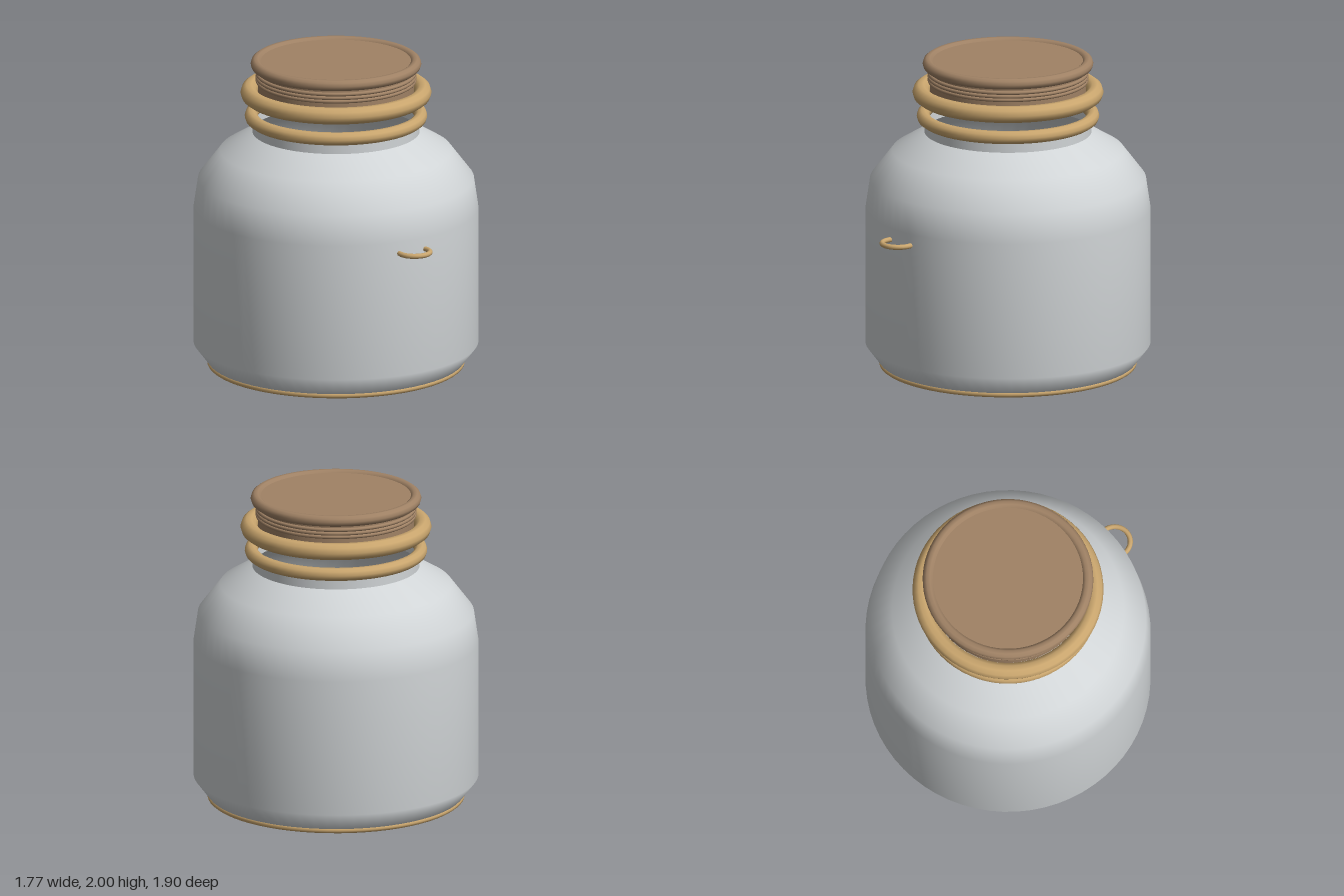
import * as THREE from 'three';

const glass = new THREE.MeshStandardMaterial({ color: 0xd0d4d6, side: THREE.DoubleSide });
glass.name = 'pale grey glass';
const brass = new THREE.MeshStandardMaterial({ color: 0xcaa66e });
brass.name = 'brass';
const lidBrown = new THREE.MeshStandardMaterial({ color: 0xa08265 });
lidBrown.name = 'lid brown';

function add(parent, name, geometry, material, y = 0, z = 0) {
  const mesh = new THREE.Mesh(geometry, material);
  mesh.name = name;
  mesh.position.set(0, y, z);
  parent.add(mesh);
  return mesh;
}

// Horizontal ring around the y axis
function ring(parent, name, radius, tube, y, material, z = 0, segments = 64) {
  const geometry = new THREE.TorusGeometry(radius, tube, 10, segments).rotateX(Math.PI / 2);
  return add(parent, name, geometry, material, y, z);
}

// Turned part; a repeated point makes a sharp edge
function turned(parent, name, points, material) {
  const profile = points.map(([r, y]) => new THREE.Vector2(r, y));
  return add(parent, name, new THREE.LatheGeometry(profile, 64), material);
}

export function createModel() {
  const model = new THREE.Group();
  model.name = 'jar';

  const body = new THREE.Group();
  body.name = 'body';
  body.position.z = -0.067;
  model.add(body);

  // Open glass vessel with rounded shoulder and short neck
  turned(body, 'vessel', [
    [0, 0], [0.66, 0], [0.66, 0], [0.79, 0.05], [0.885, 0.175], [0.885, 1.04],
    [0.857, 1.23], [0.72, 1.41], [0.52, 1.53], [0.52, 1.53], [0.52, 1.62],
  ], glass);
  ring(body, 'baseRing', 0.782, 0.019, 0.047, brass);
  ring(body, 'neckRing', 0.526, 0.041, 1.63, brass);

  // Floating lid: plug, threads, collar and rolled rim
  const lid = new THREE.Group();
  lid.name = 'lid';
  body.add(lid);
  turned(lid, 'lidPlug', [
    [0, 1.725], [0.45, 1.725], [0.45, 1.725], [0.485, 1.78], [0.485, 1.78],
    [0.485, 1.985], [0.485, 1.985], [0, 1.985],
  ], lidBrown);
  for (const y of [1.86, 1.882, 1.906]) ring(lid, 'thread', 0.488, 0.012, y, lidBrown);
  ring(lid, 'collarRing', 0.54, 0.053, 1.782, brass);
  ring(lid, 'rimRing', 0.495, 0.035, 1.966, lidBrown);

  // Small loop on the front
  ring(model, 'frontLoop', 0.098, 0.016, 0.967, brass, 0.835, 32);

  return model;
}
